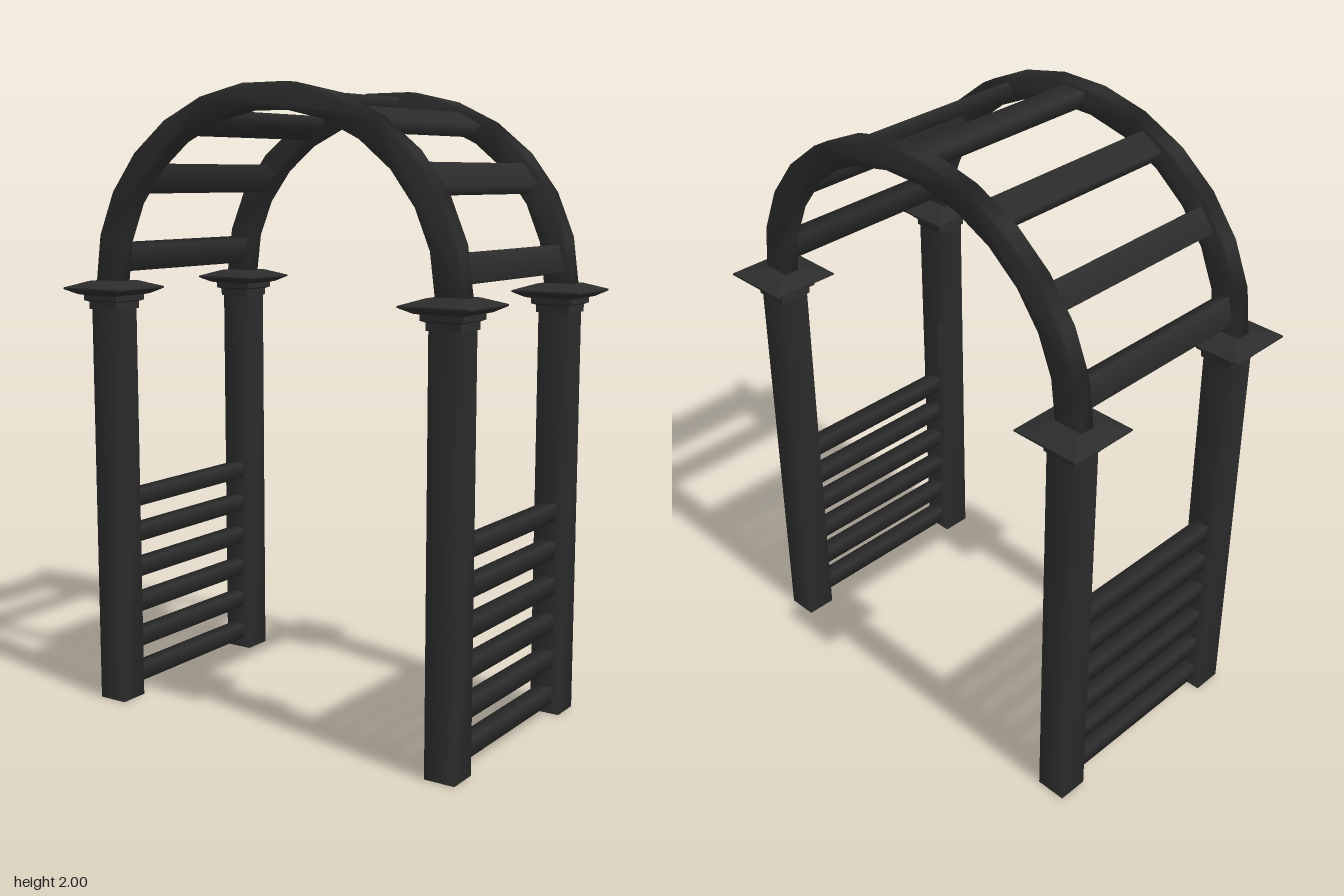
import * as THREE from 'three';
import { mergeVertices } from 'three/addons/utils/BufferGeometryUtils.js';

const POST_X = 0.625, POST_Z = 0.345, SPRING_Y = 1.395;

// Shares corner vertices so the timber has soft, rounded-looking shading
function soften(geometry) {
  geometry.deleteAttribute('normal');
  geometry.deleteAttribute('uv');
  const g = mergeVertices(geometry, 1e-4);
  g.computeVertexNormals();
  return g;
}

const softBox = (w, h, d) => soften(new THREE.BoxGeometry(w, h, d));

// Square stepped cap with a shallow pyramid top, given as [half width, y]
function capGeometry() {
  const profile = [
    [0, 1.305], [0.056, 1.305], [0.056, 1.328], [0.068, 1.333], [0.068, 1.35],
    [0.082, 1.353], [0.114, 1.37], [0.114, 1.375], [0.055, 1.395], [0, 1.397],
  ].map(([r, y]) => new THREE.Vector2(r * Math.SQRT2, y));
  const g = new THREE.LatheGeometry(profile, 4, Math.PI / 4).toNonIndexed();
  g.computeVertexNormals();
  return g;
}

// Faceted half-ellipse bar
function archGeometry() {
  const steps = 13, depth = 0.05, points = [];
  const add = (i, rx, ry) => {
    const a = (Math.PI * i) / steps;
    points.push(new THREE.Vector2(rx * Math.cos(a), SPRING_Y + ry * Math.sin(a)));
  };
  for (let i = 0; i <= steps; i++) add(i, 0.675, 0.609);
  for (let i = steps; i >= 0; i--) add(i, 0.58, 0.529);
  const g = new THREE.ExtrudeGeometry(new THREE.Shape(points), { depth, bevelEnabled: false });
  g.translate(0, 0, -depth / 2);
  return soften(g);
}

export function createModel() {
  const model = new THREE.Group();
  const black = new THREE.MeshStandardMaterial({ color: 0x2c2c2c });
  black.name = 'charcoal paint';

  const add = (name, geometry, x, y, z, parent = model) => {
    const mesh = new THREE.Mesh(geometry, black);
    mesh.name = name;
    mesh.position.set(x, y, z);
    parent.add(mesh);
    return mesh;
  };

  // Posts and caps
  const post = softBox(0.1, 1.32, 0.1);
  const cap = capGeometry();
  for (const sx of [-1, 1]) {
    for (const sz of [-1, 1]) {
      add('post', post, sx * POST_X, 0.66, sz * POST_Z);
      add('postCap', cap, sx * POST_X, 0, sz * POST_Z);
    }
  }

  // Side rails between front and back posts
  const rail = softBox(0.05, 0.054, 0.6);
  for (const sx of [-1, 1]) {
    for (let i = 0; i < 6; i++) add('sideRail', rail, sx * POST_X, 0.063 + i * 0.121, 0);
  }

  // Arches
  const arch = archGeometry();
  add('frontArch', arch, 0, 0, POST_Z);
  add('backArch', arch, 0, 0, -POST_Z);

  // Roof slats following the arch: x, y, tilt in degrees
  const slat = softBox(0.085, 0.045, 0.65);
  add('roofSlat', slat, 0, 1.961, 0);
  for (const [x, y, tilt] of [[0.297, 1.89, 28], [0.51, 1.72, 52], [0.617, 1.47, 75]]) {
    for (const s of [-1, 1]) {
      add('roofSlat', slat, s * x, y, 0).rotation.z = -s * THREE.MathUtils.degToRad(tilt);
    }
  }

  // Two hinges on the inner corner of the front left post
  for (const y of [0.272, 0.868]) {
    const hinge = new THREE.Group();
    hinge.name = 'hinge';
    hinge.position.set(0.575, y, 0.3);
    hinge.rotation.y = 0.45;
    model.add(hinge);
    add('hingeLeaf', new THREE.BoxGeometry(0.006, 0.165, 0.036), 0, 0, -0.036, hinge);
    add('postLeaf', new THREE.BoxGeometry(0.006, 0.14, 0.012), 0, 0, -0.002, hinge);
    for (const dy of [-0.045, 0.045]) {
      add('hingeKnuckle', new THREE.BoxGeometry(0.01, 0.03, 0.03), 0, dy, -0.012, hinge);
    }
  }

  return model;
}
